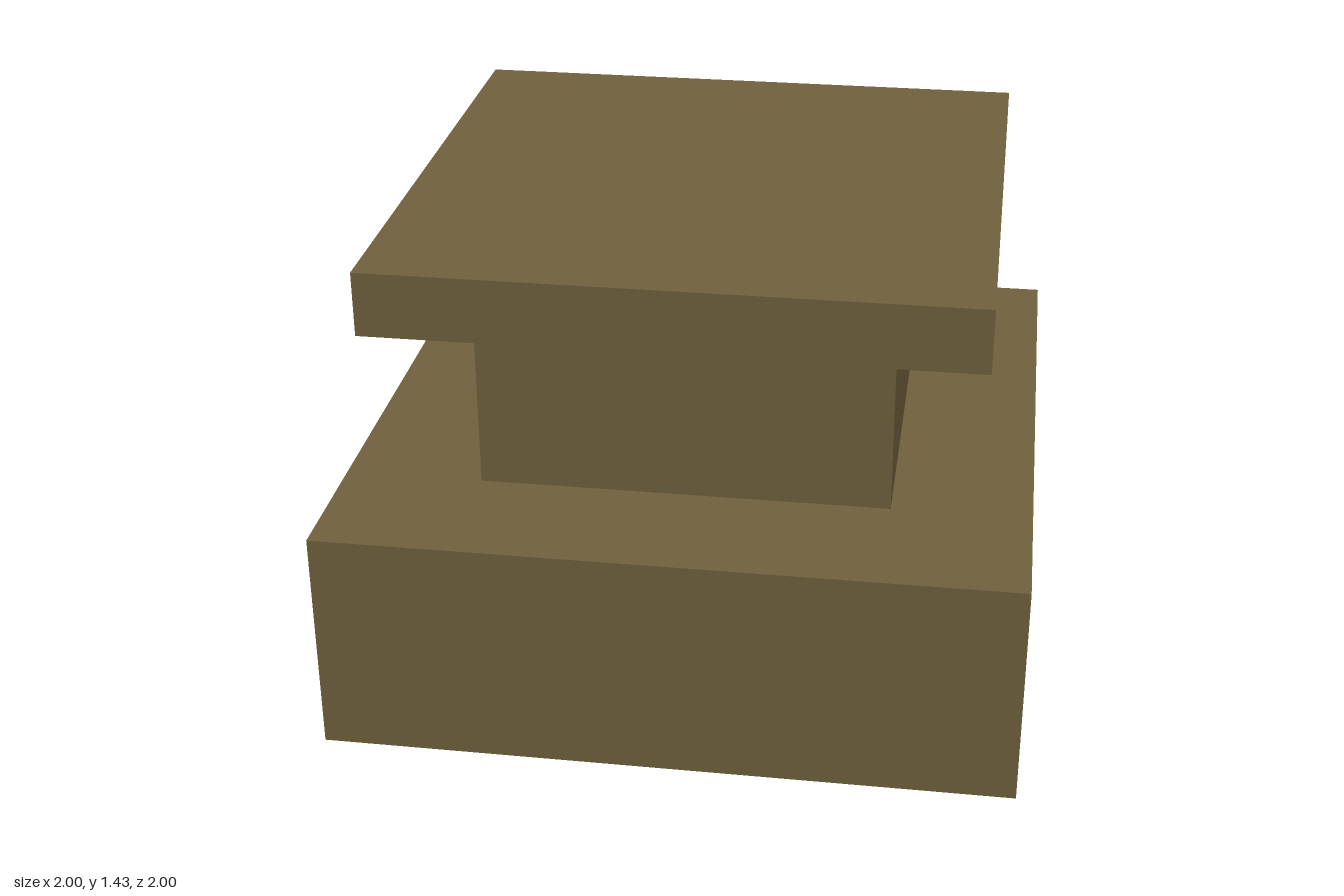
import * as THREE from 'three';

export function createModel() {
  const model = new THREE.Group();
  model.name = 'pedestal';

  const bronze = new THREE.MeshStandardMaterial({ color: 0x6f603c });
  bronze.name = 'olive bronze';

  // Square slab standing between two heights
  function addSlab(name, width, bottom, top) {
    const slab = new THREE.Mesh(new THREE.BoxGeometry(width, top - bottom, width), bronze);
    slab.name = name;
    slab.position.y = (bottom + top) / 2;
    model.add(slab);
  }

  addSlab('base', 2, 0, 0.674);
  addSlab('neck', 1.194, 0.674, 1.246);
  addSlab('cap', 1.716, 1.246, 1.433);

  return model;
}
